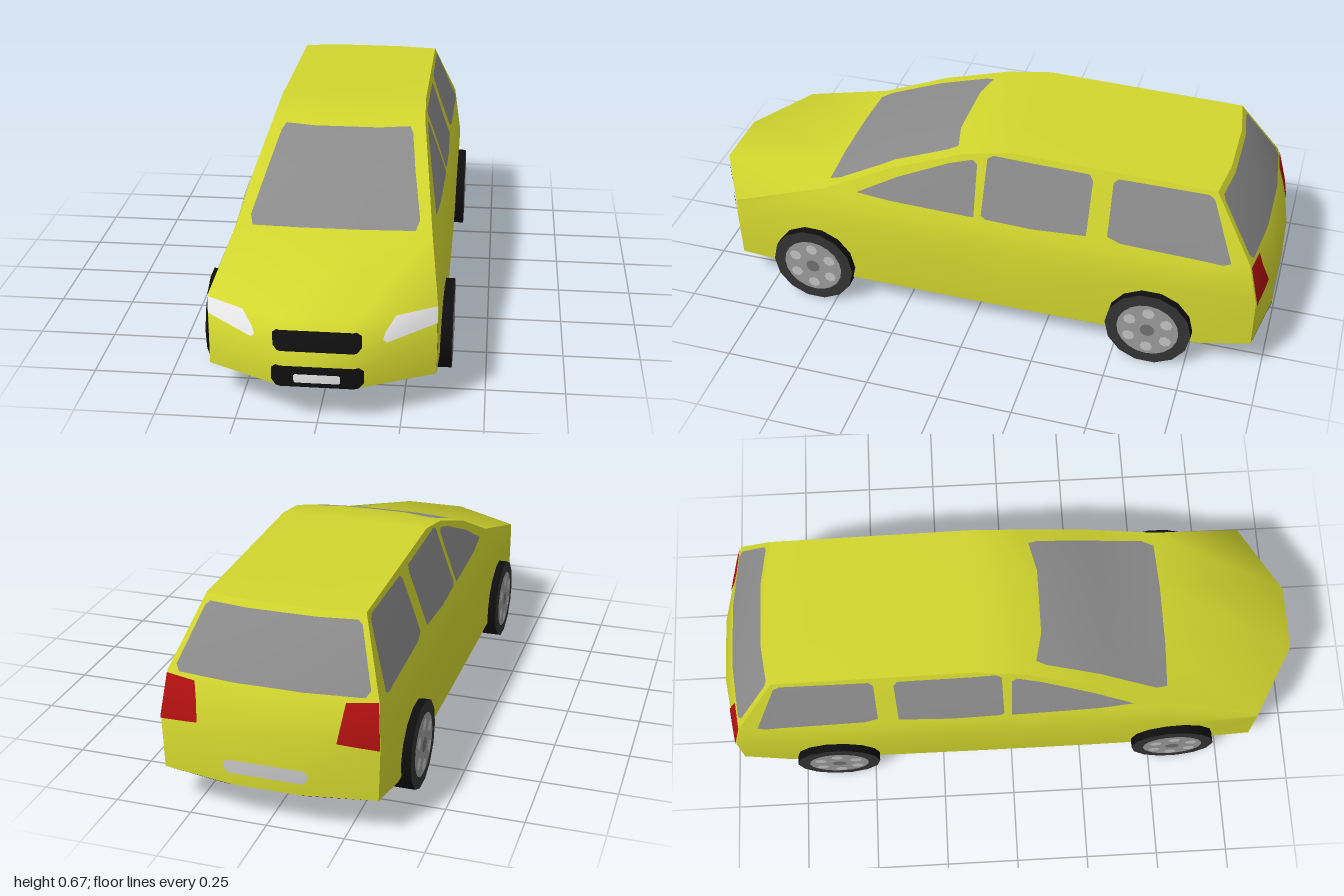
import * as THREE from 'three';

const mat = (name, color, side = THREE.FrontSide) => {
  const m = new THREE.MeshStandardMaterial({ color, side });
  m.name = name;
  return m;
};

// Smooth surface through rows of points; counter-clockwise seen from outside
function grid(rows) {
  const n = rows[0].length, index = [];
  for (let r = 0; r < rows.length - 1; r++)
    for (let c = 0; c < n - 1; c++) {
      const a = r * n + c, d = a + n;
      index.push(a, a + 1, d + 1, a, d + 1, d);
    }
  const g = new THREE.BufferGeometry();
  g.setAttribute('position', new THREE.Float32BufferAttribute(rows.flat(2), 3));
  g.setIndex(index);
  g.computeVertexNormals();
  return g;
}

// Cut a convex outline out of a surface, seen along one axis, and lift it slightly
function decal(surface, outline, axis, sign, lift = 0.003) {
  const u = axis === 0 ? 2 : 0;
  const P = surface.attributes.position, N = surface.attributes.normal, I = surface.index;
  const area = outline.reduce((s, p, i) => {
    const q = outline[(i + 1) % outline.length];
    return s + p[0] * q[1] - q[0] * p[1];
  }, 0);
  const pos = [], nor = [];
  for (let t = 0; t < I.count; t += 3) {
    let poly = [0, 1, 2].map(k => {
      const i = I.getX(t + k);
      return [P.getX(i), P.getY(i), P.getZ(i), N.getX(i), N.getY(i), N.getZ(i)];
    });
    const [a, b, c] = poly.map(p => new THREE.Vector3(p[0], p[1], p[2]));
    const face = b.sub(a).cross(c.sub(a)).normalize();
    if (face.getComponent(axis) * sign < 0.1) continue;
    outline.forEach((p, i) => {
      const q = outline[(i + 1) % outline.length];
      const dist = v => ((q[0] - p[0]) * (v[1] - p[1]) - (q[1] - p[1]) * (v[u] - p[0])) * Math.sign(area);
      const kept = [];
      poly.forEach((v, k) => {
        const w = poly[(k + 1) % poly.length], dv = dist(v), dw = dist(w);
        if (dv >= 0) kept.push(v);
        if (dv * dw < 0) kept.push(v.map((x, j) => x + (w[j] - x) * dv / (dv - dw)));
      });
      poly = kept;
    });
    for (let k = 1; k < poly.length - 1; k++)
      for (const v of [poly[0], poly[k], poly[k + 1]]) {
        const p = v.slice(0, 3);
        p[axis] += sign * lift;
        pos.push(...p);
        nor.push(...v.slice(3));
      }
  }
  const g = new THREE.BufferGeometry();
  g.setAttribute('position', new THREE.Float32BufferAttribute(pos, 3));
  g.setAttribute('normal', new THREE.Float32BufferAttribute(nor, 3));
  return g;
}

// Rectangle with clipped corners
const chamfered = (w, y0, y1, c) => [[-w + c, y0], [w - c, y0], [w, y0 + c], [w, y1 - c],
  [w - c, y1], [-w + c, y1], [-w, y1 - c], [-w, y0 + c]];
// Half outline completed by its mirror image
const symmetric = half => [...half, ...half.map(([x, y]) => [-x, y]).reverse()];

export function createModel() {
  const car = new THREE.Group();
  car.name = 'car';
  const paint = mat('yellowPaint', 0xd2d62e, THREE.DoubleSide);
  const glass = mat('greyGlass', 0x8c8c8c);
  const red = mat('redLens', 0xb01010);
  const white = mat('whiteLens', 0xe2e2e2);
  const black = mat('black', 0x0e0e0e);
  const under = mat('underbodyBlack', 0x1b1b1b, THREE.DoubleSide);
  const tyreSide = mat('tyreGrey', 0x333333);
  const rimGrey = mat('rimGrey', 0x9a9a9a);
  const silver = mat('silver', 0xc4c4c4);
  const hubGrey = mat('hubGrey', 0x707070);

  const add = (name, geometry, material, parent = car) => {
    const m = new THREE.Mesh(geometry, material);
    m.name = name;
    parent.add(m);
    return m;
  };

  // Skin rows: inner height and z, then edge x, height and z
  const skin = rows => grid(rows.map(([yi, zi, xe, ye, ze]) =>
    [[-xe, ye, ze], [-0.11, yi, zi], [0.11, yi, zi], [xe, ye, ze]]));
  const topSkin = skin([
    [0.125, 1, 0.35, 0.115, 0.86],
    [0.345, 1, 0.35, 0.345, 0.86],
    [0.44, 0.55, 0.315, 0.44, 0.54],
    [0.56, 0.315, 0.287, 0.56, 0.29],
    [0.645, 0.085, 0.262, 0.645, 0.05],
    [0.675, -0.1, 0.255, 0.675, -0.11],
    [0.66, -0.81, 0.255, 0.66, -0.79],
  ]);
  const rearSkin = skin([
    [0.66, -0.81, 0.255, 0.66, -0.79],
    [0.45, -0.95, 0.335, 0.45, -0.925],
    [0.31, -1, 0.35, 0.31, -0.96],
    [0.13, -1, 0.345, 0.13, -0.96],
  ]);
  add('bonnetAndRoof', topSkin, paint);
  add('tailgate', rearSkin, paint);

  // Side stations from front to rear: sill, waist, belt and upper edge
  const stations = [
    [[0.35, 0.115, 0.86], [0.351, 0.3, 0.86], [0.351, 0.335, 0.86], [0.35, 0.345, 0.86]],
    [[0.358, 0.1, 0.54], [0.363, 0.325, 0.54], [0.322, 0.425, 0.54], [0.315, 0.44, 0.54]],
    [[0.36, 0.1, 0.29], [0.366, 0.325, 0.29], [0.333, 0.43, 0.29], [0.287, 0.56, 0.29]],
    [[0.36, 0.1, 0.05], [0.368, 0.325, 0.05], [0.338, 0.43, 0.05], [0.262, 0.645, 0.05]],
    [[0.36, 0.1, -0.11], [0.368, 0.325, -0.11], [0.338, 0.43, -0.11], [0.255, 0.675, -0.11]],
    [[0.357, 0.1, -0.79], [0.363, 0.325, -0.79], [0.338, 0.43, -0.79], [0.255, 0.66, -0.79]],
    [[0.345, 0.13, -0.96], [0.35, 0.31, -0.96], [0.335, 0.45, -0.925], [0.255, 0.66, -0.79]],
  ];
  const sideWindows = {
    FrontWindow: [[0.42, 0.452], [0.28, 0.53], [0.1, 0.608], [0.02, 0.633], [0.003, 0.62], [0, 0.445], [0.3, 0.447]],
    MiddleWindow: [[-0.025, 0.455], [-0.03, 0.645], [-0.05, 0.658], [-0.375, 0.65], [-0.388, 0.63], [-0.385, 0.45], [-0.2, 0.44], [-0.04, 0.445]],
    RearWindow: [[-0.455, 0.46], [-0.455, 0.635], [-0.47, 0.65], [-0.765, 0.648], [-0.785, 0.635], [-0.865, 0.445], [-0.84, 0.435], [-0.5, 0.445]],
  };
  for (const s of [1, -1]) {
    const name = s > 0 ? 'left' : 'right';
    const rows = [0, 1, 2, 3].map(r => {
      const row = stations.map(st => [s * st[r][0], st[r][1], st[r][2]]);
      return s > 0 ? row : row.reverse();
    });
    const side = grid(rows);
    add(name + 'Side', side, paint);
    for (const [w, outline] of Object.entries(sideWindows))
      add(name + w, decal(side, outline, 0, s), glass);

    // Lamps at the corners
    const flip = pts => pts.map(([x, y]) => [s * x, y]);
    add(name + 'Headlight', decal(topSkin, flip([[0.352, 0.344], [0.23, 0.342], [0.2, 0.295],
      [0.193, 0.27], [0.205, 0.258], [0.352, 0.288]]), 2, 1), white);
    add(name + 'TailLight', decal(rearSkin, flip([[0.36, 0.445], [0.24, 0.435],
      [0.222, 0.315], [0.36, 0.3]]), 2, -1, 0.004), red);
  }

  // Underbody
  const sills = [[0.12, 0.13, -1], ...stations.map(st => st[0]).reverse(), [0.11, 0.125, 1]];
  add('underbody', grid(sills.map(([x, y, z]) => [[-x, y, z], [x, y, z]])), under);

  // Windscreen, rear window, grilles and plates
  add('windscreen', decal(topSkin, symmetric([[0.262, 0.445], [0.273, 0.465], [0.225, 0.625],
    [0.213, 0.638]]), 2, 1, 0.006), glass);
  add('rearWindow', decal(rearSkin, symmetric([[0.295, 0.452], [0.308, 0.47], [0.25, 0.63],
    [0.235, 0.642]]), 2, -1), glass);
  add('upperGrille', decal(topSkin, chamfered(0.133, 0.242, 0.312, 0.014), 2, 1, 0.002), black);
  add('lowerGrille', decal(topSkin, chamfered(0.14, 0.124, 0.193, 0.015), 2, 1, 0.002), black);
  add('frontPlate', decal(topSkin, chamfered(0.07, 0.14, 0.168, 0.004), 2, 1, 0.004), white);
  add('rearPlate', decal(rearSkin, chamfered(0.135, 0.17, 0.215, 0.014), 2, -1, 0.002), silver);

  // Wheels: tyre, rim disc on both faces, ring of light spots and hub
  const tyre = new THREE.CylinderGeometry(0.146, 0.146, 0.12, 14).rotateZ(Math.PI / 2);
  const disc = new THREE.CircleGeometry(0.105, 20).rotateY(Math.PI / 2);
  const spot = new THREE.CircleGeometry(0.021, 8).rotateY(Math.PI / 2);
  const hub = new THREE.CircleGeometry(0.025, 10).rotateY(Math.PI / 2);
  for (const [axle, z] of [['front', 0.575], ['rear', -0.62]])
    for (const s of [1, -1]) {
      const wheel = new THREE.Group();
      wheel.name = axle + (s > 0 ? 'Left' : 'Right') + 'Wheel';
      wheel.position.set(s * 0.33, 0.146, z);
      add('tyre', tyre, [black, tyreSide, tyreSide], wheel);
      for (const f of [0, Math.PI]) {
        const face = new THREE.Group();
        face.name = 'rim';
        face.rotation.y = f;
        wheel.add(face);
        add('rimDisc', disc, rimGrey, face).position.x = 0.062;
        add('hub', hub, hubGrey, face).position.x = 0.064;
        for (let i = 0; i < 6; i++) {
          const a = i * Math.PI / 3 + Math.PI / 6;
          add('rimSpot', spot, silver, face).position.set(0.064, 0.072 * Math.sin(a), 0.072 * Math.cos(a));
        }
      }
      car.add(wheel);
    }
  return car;
}
